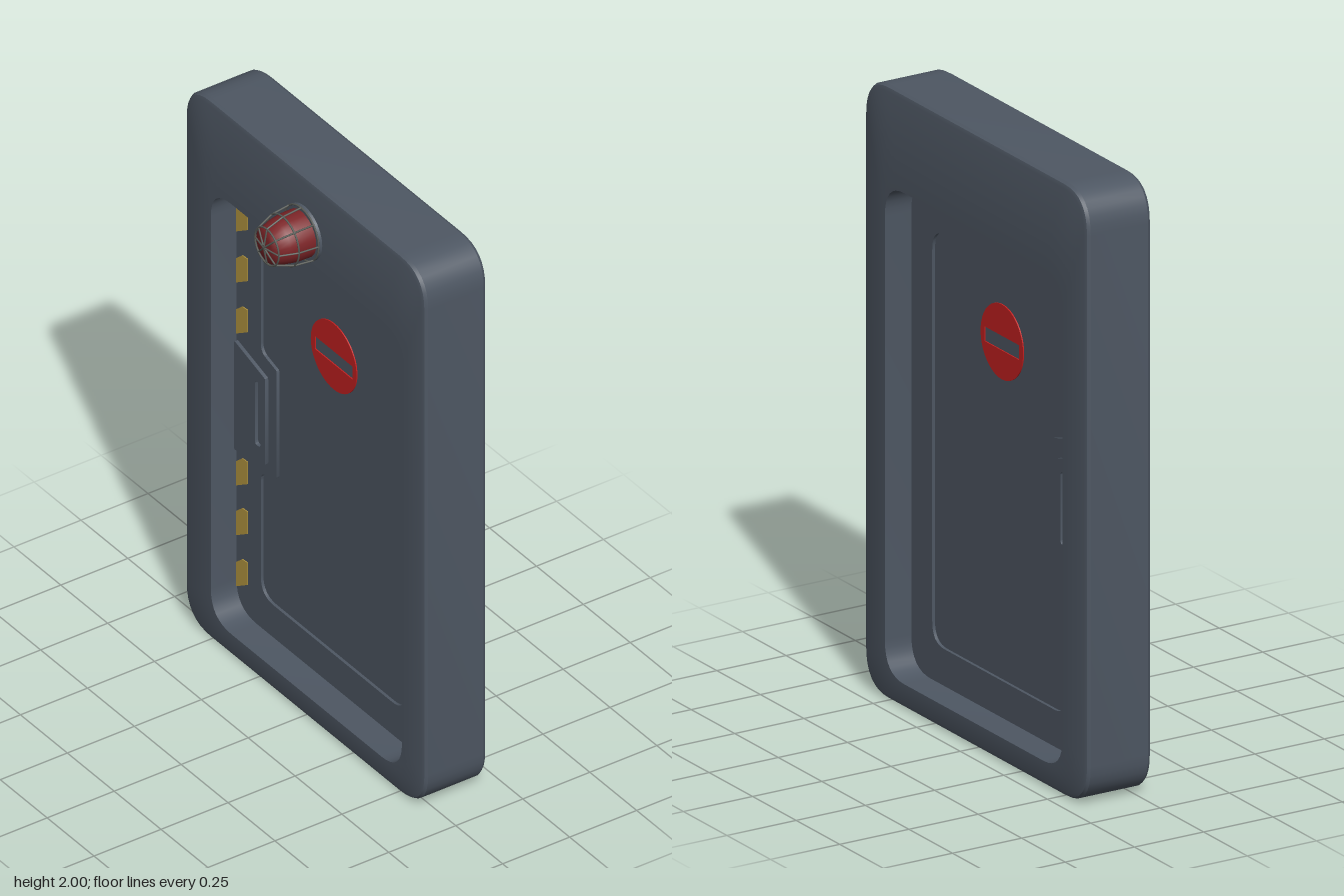
import * as THREE from 'three';
import { toCreasedNormals } from 'three/addons/utils/BufferGeometryUtils.js';

const CX = 0.0775; // middle plane of the door, which looks the same on both faces

const mat = (name, color, side = THREE.FrontSide) => {
  const m = new THREE.MeshStandardMaterial({ color, side });
  m.name = name;
  return m;
};

// Outlines are drawn in (u, y), where u = -z, counter-clockwise seen from +x.
const rect = (u0, u1, y0, y1) => [[u0, y0], [u1, y0], [u1, y1], [u0, y1]];

// Polygon with each corner replaced by a short curve; always 9 points a corner.
function rounded(corners, radius, steps = 8) {
  const v = corners.map(([u, y]) => new THREE.Vector2(u, y));
  return v.flatMap((p, i) => {
    const prev = v[(i + v.length - 1) % v.length], next = v[(i + 1) % v.length];
    const r = corners[i][2] ?? radius;
    const a = p.clone().add(prev.clone().sub(p).setLength(r));
    const b = p.clone().add(next.clone().sub(p).setLength(r));
    return new THREE.QuadraticBezierCurve(a, p, b).getPoints(steps);
  });
}

// Flat plate in the (u, y) plane, spanning x0 to x1.
function plate(points, x0, x1, holes = []) {
  const shape = new THREE.Shape(points);
  shape.holes = holes.map((h) => new THREE.Path(h));
  const g = new THREE.ExtrudeGeometry(shape, { depth: x1 - x0, bevelEnabled: false });
  return toCreasedNormals(g.rotateY(Math.PI / 2).translate(x0, 0, 0), 0.6);
}

// Skin joining equal-length outlines, each placed at its own x.
function loft(sections) {
  const pos = [];
  const at = ([x, pts], i) => {
    const p = pts[i % pts.length];
    return [x, p.y, -p.x];
  };
  for (let s = 0; s < sections.length - 1; s++) {
    const a = sections[s], b = sections[s + 1];
    for (let i = 0; i < a[1].length; i++) {
      pos.push(...at(a, i), ...at(a, i + 1), ...at(b, i + 1));
      pos.push(...at(a, i), ...at(b, i + 1), ...at(b, i));
    }
  }
  const g = new THREE.BufferGeometry();
  g.setAttribute('position', new THREE.Float32BufferAttribute(pos, 3));
  return toCreasedNormals(g, 0.5);
}

function warningLamp(steel, cageMetal, glassRed) {
  const lamp = new THREE.Group();
  lamp.name = 'warningLamp';
  const add = (name, geo, m) => {
    const mesh = new THREE.Mesh(geo, m);
    mesh.name = name;
    lamp.add(mesh);
    return mesh;
  };
  const vec = ([r, h]) => new THREE.Vector2(r, h);

  add('lampBase', new THREE.CylinderGeometry(0.093, 0.095, 0.012, 24).translate(0, 0.006, 0), steel);
  const dome = [[0.08, 0.01], [0.079, 0.06], [0.072, 0.1], [0.06, 0.138], [0.03, 0.145], [0, 0.146]];
  add('lampDome', new THREE.LatheGeometry(dome.map(vec), 24), glassRed);

  // Wire cage: hoops and bent ribs meeting at the tip
  const cage = [[0.093, 0.012], [0.086, 0.08], [0.064, 0.14], [0, 0.152]];
  for (const [r, h] of cage.slice(0, 3)) {
    add('cageHoop', new THREE.TorusGeometry(r, 0.003, 6, 24).rotateX(Math.PI / 2).translate(0, h, 0), cageMetal);
  }
  const path = new THREE.CurvePath();
  for (let i = 0; i < 3; i++) {
    path.add(new THREE.LineCurve3(
      new THREE.Vector3(cage[i][0], cage[i][1], 0),
      new THREE.Vector3(cage[i + 1][0], cage[i + 1][1], 0)));
  }
  const rib = new THREE.TubeGeometry(path, 18, 0.003, 6);
  for (let i = 0; i < 8; i++) add('cageRib', rib, cageMetal).rotation.y = (i * Math.PI) / 4;

  lamp.position.set(-0.04, 1.8, 0);
  lamp.rotation.z = Math.PI / 2;
  return lamp;
}

export function createModel() {
  const steel = mat('blue grey steel', 0x4e5763);
  const cageMetal = mat('cage metal', 0x5a5d58);
  const signRed = mat('sign red', 0xc42020);
  const glassRed = mat('lamp red', 0x7c2427, THREE.DoubleSide);
  const yellow = mat('hazard yellow', 0xb89a42);

  const model = new THREE.Group();
  model.name = 'bulkheadDoor';
  const add = (name, geo, m) => {
    const mesh = new THREE.Mesh(geo, m);
    mesh.name = name;
    model.add(mesh);
  };
  // Same plate on both door faces, from d0 to d1 away from the middle plane
  const addBoth = (name, pts, d0, d1, m, holes) => {
    add(name, plate(pts, CX + d0, CX + d1, holes), m);
    add(name, plate(pts, CX - d1, CX - d0, holes), m);
  };

  // Frame: one loft around the whole ring, with softened outer edges
  const outer = (k) => rounded(rect(-0.64 + k, 0.64 - k, k, 2 - k), 0.135 - k);
  const opening = rounded(rect(-0.52, 0.5, 0.08, 1.68), 0.11);
  add('frame', loft([
    [-0.04, opening], [-0.04, outer(0.018)], [-0.036, outer(0.006)], [-0.026, outer(0)],
    [0.181, outer(0)], [0.191, outer(0.006)], [0.195, outer(0.018)], [0.195, opening], [-0.04, opening],
  ]), steel);

  // Door leaf: core plus a raised border around the sunken panel
  const leaf = rounded(rect(-0.53, 0.51, 0.07, 1.69), 0.11);
  add('doorCore', plate(leaf, CX - 0.012, CX + 0.012), steel);
  const panel = rounded([
    [-0.4, 0.2], [0.37, 0.2], [0.37, 0.655, 0.03], [0.285, 0.68, 0.008],
    [0.285, 1.08, 0.008], [0.37, 1.105, 0.03], [0.37, 1.55], [-0.4, 1.55],
  ], 0.07);
  addBoth('doorBorder', leaf, 0.012, 0.022, steel, [panel]);

  // Handle plate with a finger slot
  const grip = rounded([[0.33, 0.71], [0.495, 0.675], [0.495, 1.08], [0.33, 1.03]], 0.006, 2);
  const slot = rounded(rect(0.355, 0.384, 0.76, 0.995), 0.01, 3);
  addBoth('handlePlate', grip, 0.02, 0.034, steel, [slot]);

  // No-entry disc with an open bar
  const disc = new THREE.Path().absarc(-0.01, 1.3, 0.122, 0, Math.PI * 2).getPoints(24);
  const bar = rect(-0.11, 0.09, 1.272, 1.32).map(([u, y]) => new THREE.Vector2(u, y));
  addBoth('noEntrySign', disc, 0.012, 0.016, signRed, [bar]);

  // Hazard stripes along the latch edge
  for (const y of [0.16, 0.35, 0.535, 1.1, 1.29, 1.48]) {
    const stripe = [[0.437, y + 0.04], [0.499, y], [0.499, y + 0.09], [0.465, y + 0.12], [0.437, y + 0.122]];
    addBoth('hazardStripe', stripe.map(([u, v]) => new THREE.Vector2(u, v)), 0.02, 0.025, yellow);
  }

  model.add(warningLamp(steel, cageMetal, glassRed));
  return model;
}
